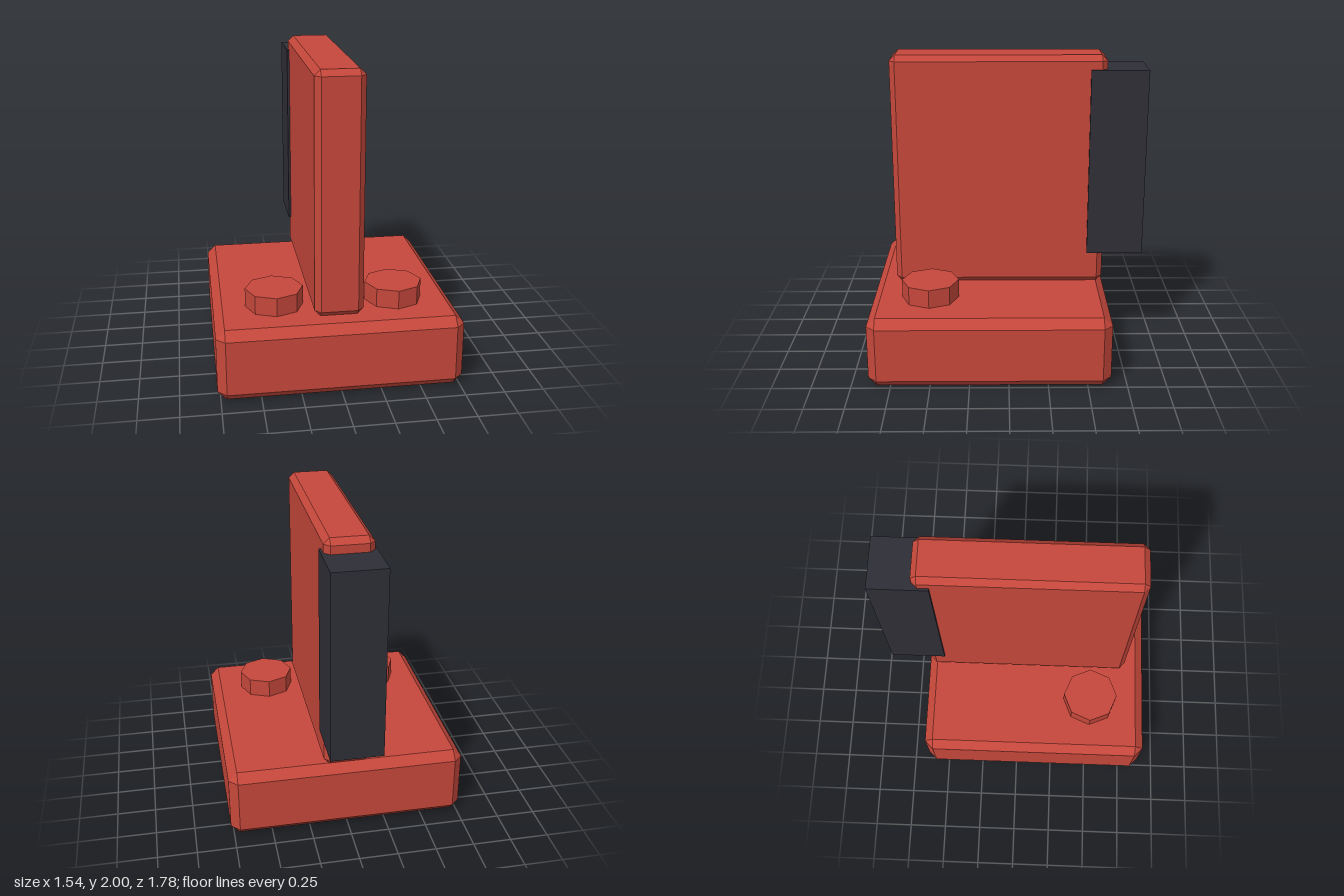
import * as THREE from 'three';
import { ConvexGeometry } from 'three/addons/geometries/ConvexGeometry.js';

// Box with every edge bevelled: three points per corner, one on each adjoining face
function bevelledBox(w, h, d, c) {
  const points = [];
  for (const x of [-1, 1]) for (const y of [-1, 1]) for (const z of [-1, 1]) {
    const X = w / 2, Y = h / 2, Z = d / 2;
    points.push(
      new THREE.Vector3(x * X, y * (Y - c), z * (Z - c)),
      new THREE.Vector3(x * (X - c), y * Y, z * (Z - c)),
      new THREE.Vector3(x * (X - c), y * (Y - c), z * Z)
    );
  }
  return new ConvexGeometry(points);
}

export function createModel() {
  const model = new THREE.Group();
  model.name = 'uprightPlateOnBase';

  const red = new THREE.MeshStandardMaterial({ color: 0xc5473b, flatShading: true });
  red.name = 'red';
  const charcoal = new THREE.MeshStandardMaterial({ color: 0x2e2e36, flatShading: true });
  charcoal.name = 'charcoal';

  const add = (name, geometry, material, x, y, z) => {
    const mesh = new THREE.Mesh(geometry, material);
    mesh.name = name;
    mesh.position.set(x, y, z);
    model.add(mesh);
  };

  // Square base block
  add('base', bevelledBox(1.538, 0.465, 1.538, 0.056), red, 0, 0.2325, 0.121);

  // Upright plate standing on the base
  add('uprightPlate', bevelledBox(0.306, 1.535, 1.384, 0.037), red, 0, 1.2325, 0.061);

  // Dark block wrapped over the back edge of the plate
  add('backBlock', new THREE.BoxGeometry(0.336, 1.23, 0.368), charcoal, 0, 1.295, -0.707);

  // Pair of octagonal bolt heads
  for (const side of [-1, 1]) {
    add(side > 0 ? 'leftBolt' : 'rightBolt',
      new THREE.CylinderGeometry(0.184, 0.184, 0.125, 8), red, side * 0.383, 0.523, 0.507);
  }

  return model;
}
